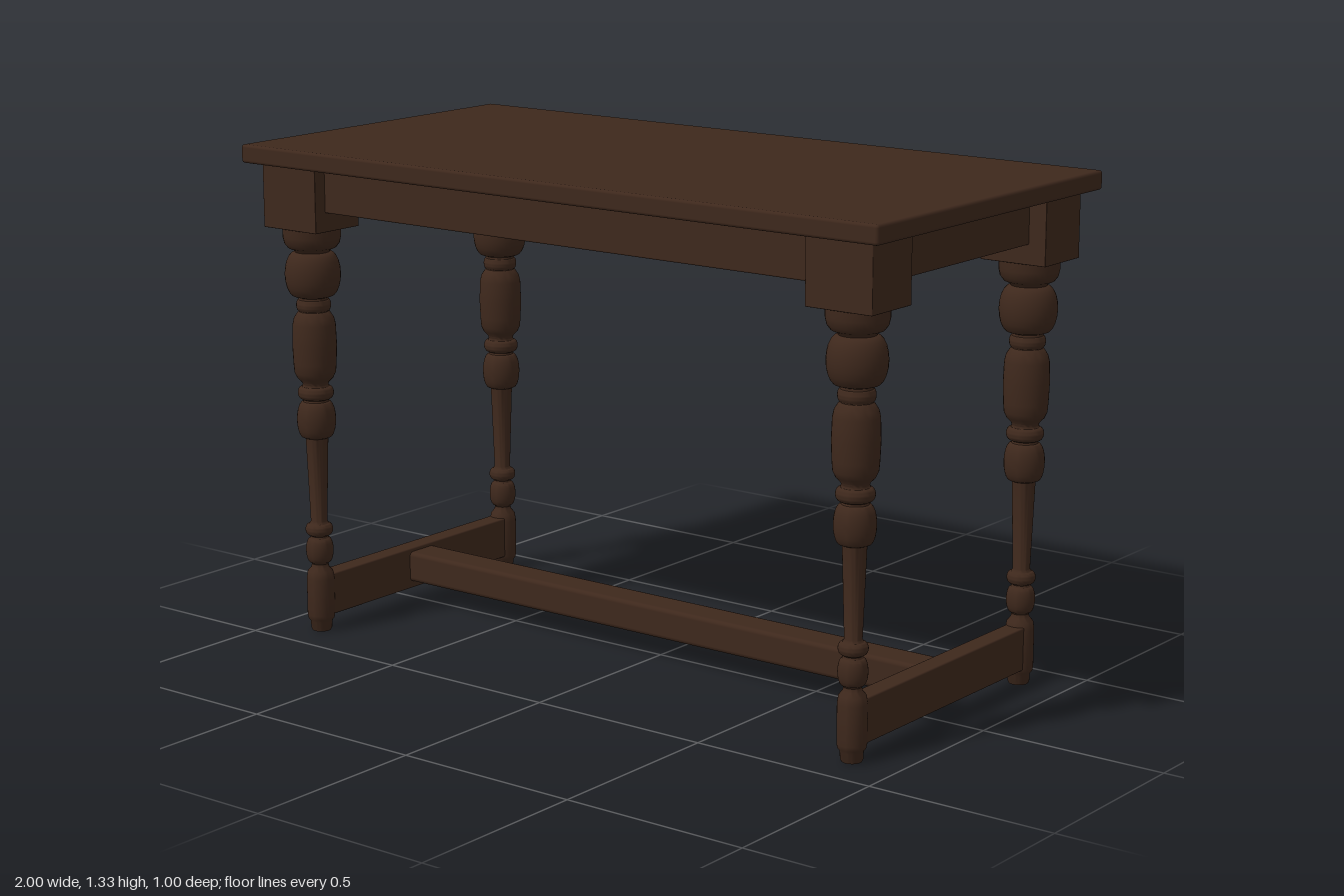
import * as THREE from 'three';
import { toCreasedNormals } from 'three/addons/utils/BufferGeometryUtils.js';
import { RoundedBoxGeometry } from 'three/addons/geometries/RoundedBoxGeometry.js';

const wood = new THREE.MeshStandardMaterial({ color: 0x3e281c });
const LEG_X = 0.868, LEG_Z = 0.379;

// Adds a mesh of the given geometry at a position
function part(group, name, geometry, x, y, z) {
  const mesh = new THREE.Mesh(geometry, wood);
  mesh.name = name;
  mesh.position.set(x, y, z);
  group.add(mesh);
  return mesh;
}

// Plank with lightly eased edges, spanning y0 to y1
function plank(group, name, w, y0, y1, d, x, z, ease = 0.004) {
  return part(group, name, new RoundedBoxGeometry(w, y1 - y0, d, 2, ease), x, (y0 + y1) / 2, z);
}

// Turned leg: straight points [r, y] and swelling beads [r0, rMax, r1, y0, y1]
function legGeometry() {
  const turning = [
    [0, 0], [0.025, 0], [0.028, 0.006], [0.029, 0.026], [0.035, 0.034], [0.037, 0.045],
    [0.037, 0.145], [0.034, 0.165], [0.024, 0.177], [0.022, 0.186],
    [0.025, 0.037, 0.025, 0.19, 0.258],
    [0.023, 0.263],
    [0.026, 0.037, 0.026, 0.266, 0.298],
    [0.022, 0.304], [0.03, 0.535],
    [0.036, 0.052, 0.034, 0.537, 0.635],
    [0.033, 0.64],
    [0.036, 0.048, 0.036, 0.642, 0.676],
    [0.034, 0.682], [0.036, 0.688], [0.048, 0.7], [0.055, 0.715], [0.057, 0.74], [0.059, 0.79],
    [0.057, 0.845], [0.053, 0.862], [0.044, 0.876], [0.04, 0.88],
    [0.04, 0.046, 0.04, 0.882, 0.912],
    [0.04, 0.918],
    [0.047, 0.074, 0.046, 0.92, 1.04],
    [0.05, 1.046], [0.064, 1.052], [0.073, 1.064], [0.077, 1.082], [0.077, 1.11],
  ];
  const points = [];
  for (const t of turning) {
    if (t.length === 2) {
      points.push(new THREE.Vector2(t[0], t[1]));
      continue;
    }
    const [r0, rMax, r1, y0, y1] = t;
    for (let i = 0; i <= 10; i++) {
      const a = (Math.PI * i) / 10;
      const base = i < 5 ? r0 : r1;
      points.push(new THREE.Vector2(
        base + (rMax - base) * Math.sin(a),
        (y0 + y1) / 2 - ((y1 - y0) / 2) * Math.cos(a)));
    }
  }
  return toCreasedNormals(new THREE.LatheGeometry(points, 32), 0.7);
}

export function createModel() {
  const table = new THREE.Group();
  table.name = 'table';

  // Top board
  plank(table, 'tableTop', 2, 1.277, 1.326, 1, 0, 0, 0.008);

  // Legs with their corner blocks
  const leg = legGeometry();
  for (const sx of [-1, 1]) {
    for (const sz of [-1, 1]) {
      part(table, 'turnedLeg', leg, sx * LEG_X, 0, sz * LEG_Z);
      plank(table, 'cornerBlock', 0.187, 1.106, 1.28, 0.163, sx * LEG_X, sz * LEG_Z, 0.002);
    }
  }

  // Aprons under the top, set back from the block faces
  for (const s of [-1, 1]) {
    plank(table, 'longApron', 1.6, 1.157, 1.28, 0.09, 0, s * LEG_Z);
    plank(table, 'endApron', 0.09, 1.157, 1.28, 0.64, s * LEG_X, 0);
  }

  // H-shaped stretcher near the floor
  for (const s of [-1, 1]) {
    plank(table, 'endStretcher', 0.054, 0.042, 0.156, LEG_Z * 2, s * LEG_X, 0);
  }
  plank(table, 'longStretcher', LEG_X * 2, 0.062, 0.146, 0.1, 0, 0, 0.012);

  return table;
}
